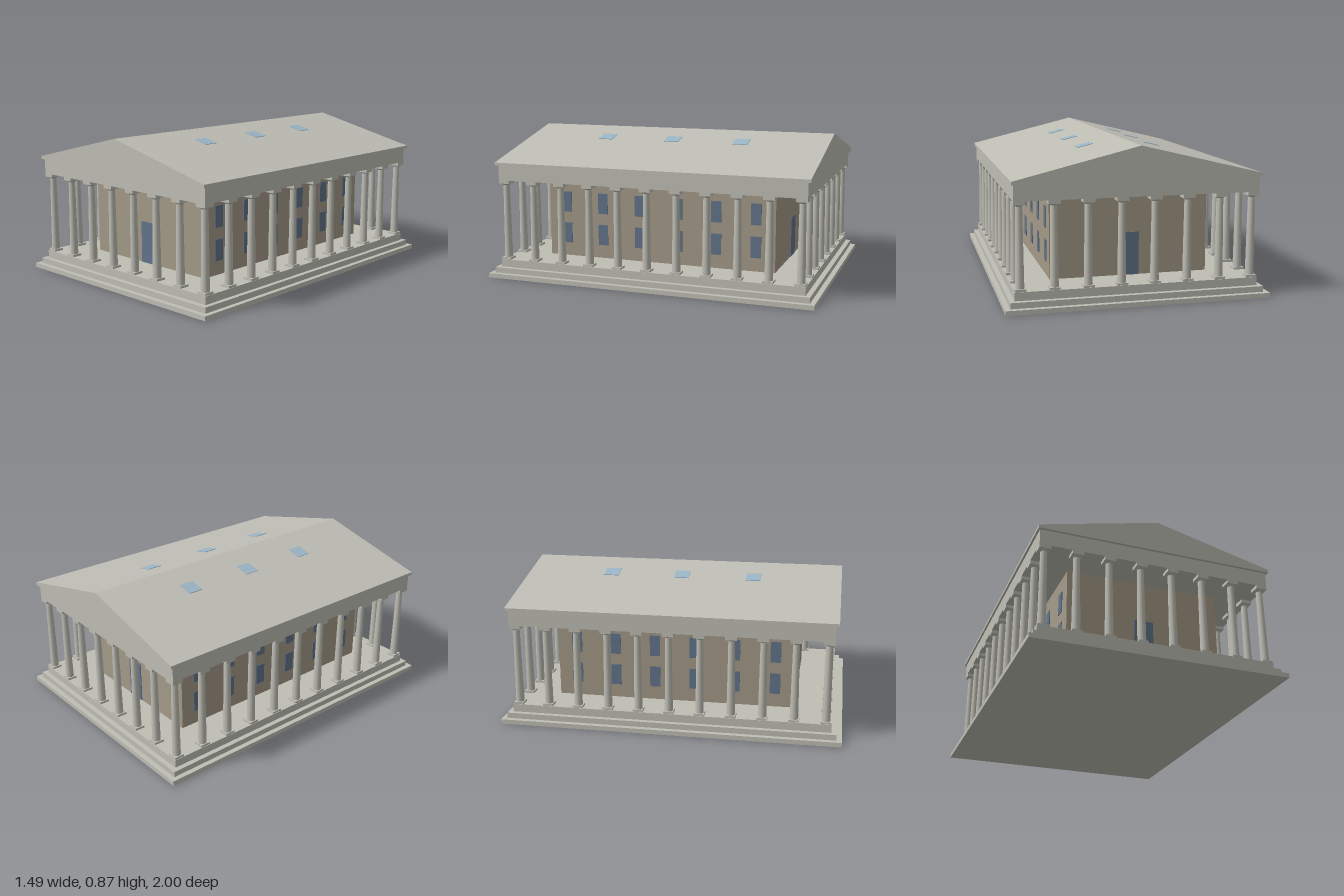
import * as THREE from 'three';

const mat = (name, color) => {
  const m = new THREE.MeshStandardMaterial({ color });
  m.name = name;
  return m;
};

export function createModel() {
  const temple = new THREE.Group();
  temple.name = 'temple';
  const stone = mat('pale stone', 0xbfbeb5);
  const wall = mat('tan wall', 0xa49a87);
  const glass = mat('dark blue glass', 0x62748b);
  const sky = mat('light blue glass', 0x9ab5c6);

  const add = (name, geometry, material, x, y, z, parent = temple) => {
    const mesh = new THREE.Mesh(geometry, material);
    mesh.name = name;
    mesh.position.set(x, y, z);
    parent.add(mesh);
    return mesh;
  };
  // Box centred on x and z, spanning y0 to y1
  const slab = (name, w, d, y0, y1, material = stone) =>
    add(name, new THREE.BoxGeometry(w, y1 - y0, d), material, 0, (y0 + y1) / 2, 0);

  // Stepped base
  slab('lowerStep', 1.49, 2.0, 0, 0.027);
  slab('middleStep', 1.432, 1.94, 0.027, 0.06);
  slab('upperStep', 1.376, 1.88, 0.06, 0.107);

  // Inner hall, beam and cornice
  slab('hall', 0.92, 1.43, 0.107, 0.595, wall);
  slab('entablature', 1.376, 1.88, 0.595, 0.685);
  slab('cornice', 1.4, 1.914, 0.685, 0.703);

  // Gabled roof
  const eave = 0.7, eaveY = 0.703, ridgeY = 0.873, roofDepth = 1.914;
  const gable = new THREE.Shape([
    new THREE.Vector2(-eave, eaveY),
    new THREE.Vector2(eave, eaveY),
    new THREE.Vector2(0, ridgeY),
  ]);
  const roof = new THREE.ExtrudeGeometry(gable, { depth: roofDepth, bevelEnabled: false });
  add('roof', roof, stone, 0, 0, -roofDepth / 2);

  // Columns: plinth, tapered shaft, flared neck and square capital
  const plinth = new THREE.BoxGeometry(0.06, 0.013, 0.06);
  const shaft = new THREE.CylinderGeometry(0.019, 0.0245, 0.445, 16, 1, true);
  const neck = new THREE.CylinderGeometry(0.03, 0.019, 0.01, 16, 1, true);
  const capital = new THREE.BoxGeometry(0.066, 0.02, 0.066);
  const addColumn = (x, z) => {
    const column = new THREE.Group();
    column.name = 'column';
    column.position.set(x, 0.107, z);
    add('plinth', plinth, stone, 0, 0.0065, 0, column);
    add('shaft', shaft, stone, 0, 0.2355, 0, column);
    add('neck', neck, stone, 0, 0.463, 0, column);
    add('capital', capital, stone, 0, 0.478, 0, column);
    temple.add(column);
  };
  const colX = 0.655, colZ = 0.907;
  for (const side of [-1, 1]) {
    for (let i = 0; i < 8; i++) addColumn(-colX + (i * 2 * colX) / 7, side * colZ);
    for (let i = 1; i < 10; i++) addColumn(side * colX, -colZ + (i * 2 * colZ) / 10);
  }

  // Doors at both ends, two rows of windows on both long walls
  const door = new THREE.BoxGeometry(0.114, 0.248, 0.006);
  const pane = new THREE.BoxGeometry(0.006, 0.126, 0.062);
  for (const side of [-1, 1]) {
    add(side > 0 ? 'frontDoor' : 'backDoor', door, glass, 0, 0.231, side * 0.716);
    for (const y of [0.251, 0.445])
      for (let i = 0; i < 6; i++) add('window', pane, glass, side * 0.461, y, -0.6 + i * 0.24);
  }

  // Skylights lying on the slopes
  const slope = Math.atan2(ridgeY - eaveY, eave);
  const skylight = new THREE.BoxGeometry(0.09 / Math.cos(slope), 0.004, 0.09);
  for (const side of [-1, 1])
    for (const z of [-0.435, 0, 0.435]) {
      const y = ridgeY - 0.2 * Math.tan(slope) + 0.001;
      add('skylight', skylight, sky, side * 0.2, y, z).rotation.z = -side * slope;
    }

  return temple;
}
